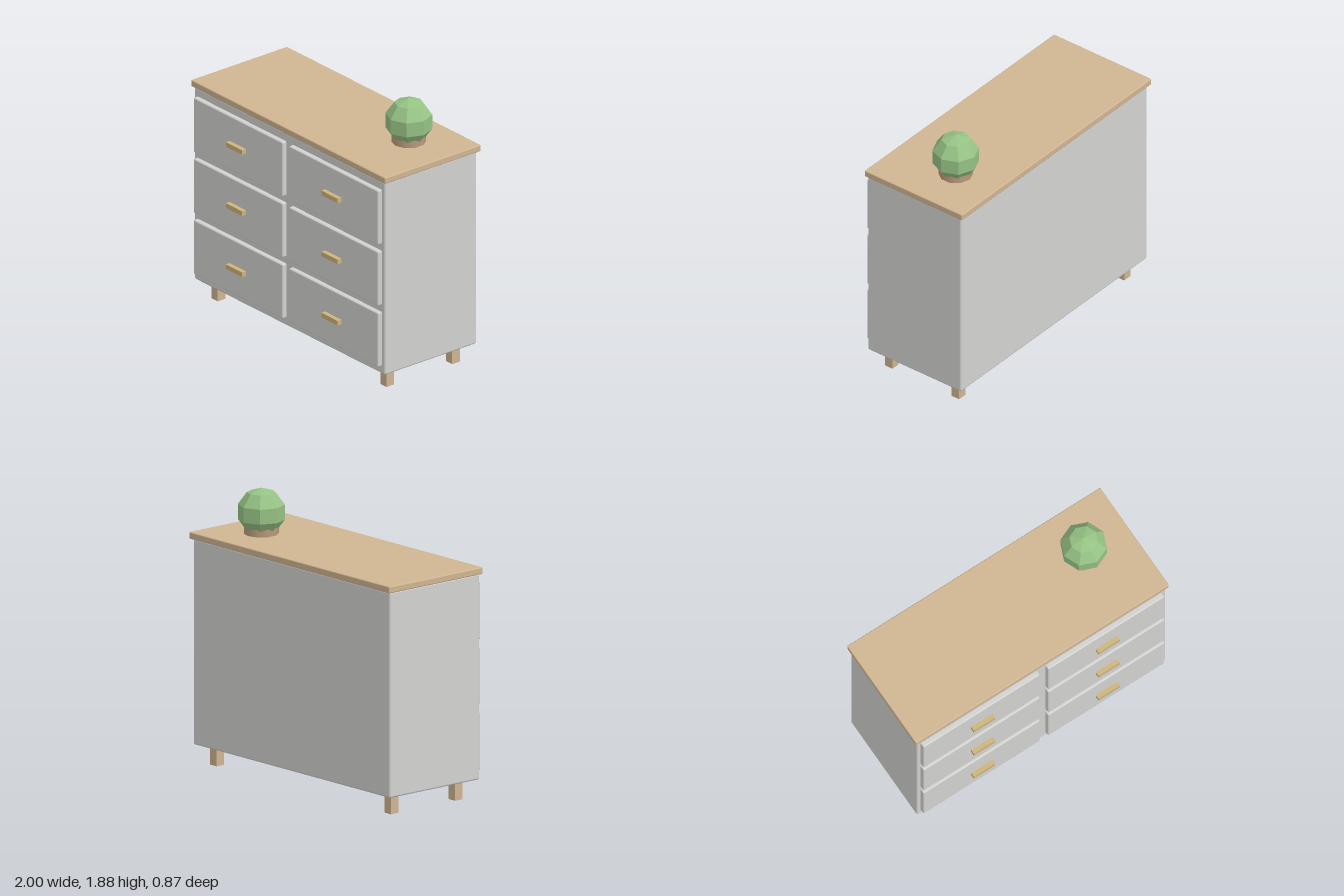
import * as THREE from 'three';
import { RoundedBoxGeometry } from 'three/addons/geometries/RoundedBoxGeometry.js';

function material(name, color, flatShading = false) {
  const m = new THREE.MeshStandardMaterial({ color, flatShading });
  m.name = name;
  return m;
}

export function createModel() {
  const group = new THREE.Group();
  const paint = material('grey paint', 0xd2d2d0);
  const wood = material('light wood', 0xd0b592);
  const brass = material('brass', 0xcdb47c);
  const clay = material('clay', 0xb99a7c);
  const green = material('cactus green', 0x96c284, true);

  function add(name, geometry, mat, x, y, z) {
    const mesh = new THREE.Mesh(geometry, mat);
    mesh.name = name;
    mesh.position.set(x, y, z);
    group.add(mesh);
    return mesh;
  }

  // Cabinet and worktop, with softened edges
  add('body', new RoundedBoxGeometry(1.965, 1.395, 0.785, 2, 0.014), paint, 0, 0.8325, -0.0225);
  add('worktop', new RoundedBoxGeometry(2, 0.047, 0.82, 2, 0.008), wood, 0, 1.5515, -0.026);

  // Two columns of three drawers, each with a bar handle
  const drawer = new RoundedBoxGeometry(0.92, 0.393, 0.045, 2, 0.01);
  const handle = new THREE.BoxGeometry(0.168, 0.033, 0.036);
  for (const x of [-0.493, 0.491]) {
    for (let row = 0; row < 3; row++) {
      const y = 0.388 + row * 0.4425;
      add('drawer', drawer, paint, x, y, 0.381);
      add('handle', handle, brass, x, y, 0.418);
    }
  }

  // Four square legs
  const leg = new THREE.BoxGeometry(0.065, 0.14, 0.065);
  for (const x of [-0.87, 0.87]) {
    for (const z of [0.257, -0.303]) add('leg', leg, wood, x, 0.07, z);
  }

  // Round cactus sunk into a small pot
  add('pot', new THREE.CylinderGeometry(0.115, 0.115, 0.05, 10), clay, 0.652, 1.6, -0.107);
  add('cactus', new THREE.SphereGeometry(0.163, 8, 5), green, 0.652, 1.722, -0.107);

  return group;
}
